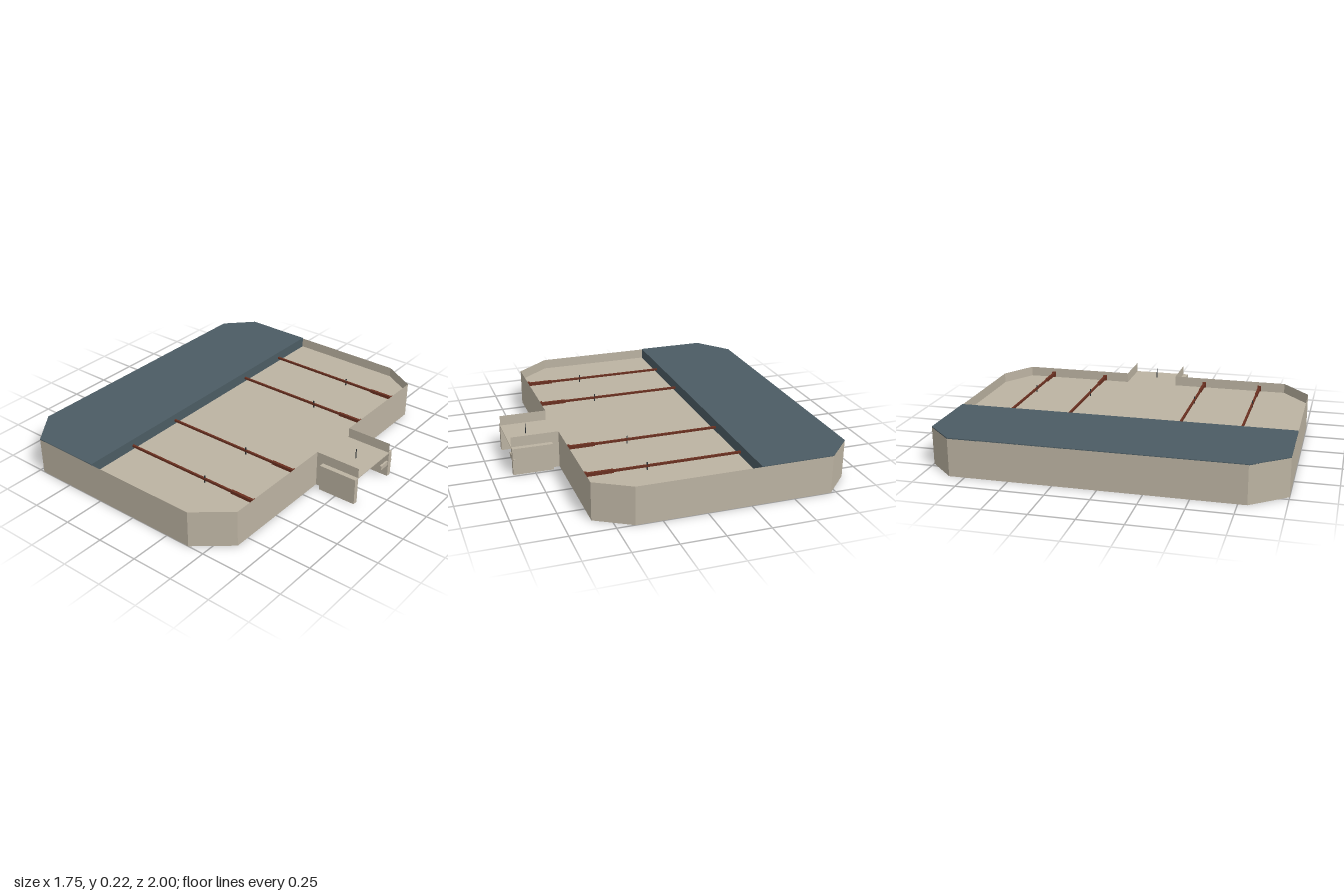
import * as THREE from 'three';

const mat = (name, color, double = false) => {
  const m = new THREE.MeshStandardMaterial({ color, side: double ? THREE.DoubleSide : THREE.FrontSide });
  m.name = name;
  return m;
};

export function createModel() {
  const root = new THREE.Group();
  const beige = mat('beige plaster', 0xbcb3a2, true);
  const blue = mat('slate blue', 0x4c5c64, true);
  const brown = mat('red brown wood', 0x6a3020);
  const dark = mat('dark metal', 0x2c3236);

  const add = (name, geo, material, parent = root) => {
    const m = new THREE.Mesh(geo, material);
    m.name = name;
    parent.add(m);
    return m;
  };
  // Box given by its limits on each axis
  const box = (name, x0, x1, y0, y1, z0, z1, material, parent) => {
    const m = add(name, new THREE.BoxGeometry(x1 - x0, y1 - y0, z1 - z0), material, parent);
    m.position.set((x0 + x1) / 2, (y0 + y1) / 2, (z0 + z1) / 2);
    return m;
  };
  // Horizontal plate from an (x, z) outline, top face at y
  const plate = (name, pts, y, t, material) => {
    const s = new THREE.Shape(pts.map(([x, z]) => new THREE.Vector2(x, -z)));
    const g = new THREE.ExtrudeGeometry(s, { depth: t, bevelEnabled: false });
    g.rotateX(-Math.PI / 2).translate(0, y - t, 0);
    return add(name, g, material);
  };
  // Upright thin wall along an (x, z) path
  const wall = (name, pts, y0, y1, material, parent) => {
    const pos = [];
    for (let i = 0; i < pts.length - 1; i++) {
      const [ax, az] = pts[i], [bx, bz] = pts[i + 1];
      pos.push(ax, y0, az, bx, y0, bz, bx, y1, bz, ax, y0, az, bx, y1, bz, ax, y1, az);
    }
    const g = new THREE.BufferGeometry();
    g.setAttribute('position', new THREE.Float32BufferAttribute(pos, 3));
    g.computeVertexNormals();
    return add(name, g, material, parent);
  };

  // Outer shell, open at the end of the entrance bay
  const H = 0.22, C = 0.16;
  const outline = [[0.875, 0.12], [0.6, 0.12], [0.6, 0.835], [0.4, 1], [-0.72, 1], [-0.875, 0.8],
    [-0.875, -0.84], [-0.72, -1], [0.4, -1], [0.6, -0.88], [0.6, -0.205], [0.875, -0.205]];
  wall('outerWall', outline, 0, H, beige);

  // Low main ceiling and raised rear roof
  plate('mainCeiling', [[-0.3, 1], [0.4, 1], [0.6, 0.835], [0.6, 0.12], [0.875, 0.12],
    [0.875, -0.205], [0.6, -0.205], [0.6, -0.88], [0.4, -1], [-0.3, -1]], C, 0.004, beige);
  plate('rearRoof', [[-0.3, 1], [-0.72, 1], [-0.875, 0.8], [-0.875, -0.84], [-0.72, -1], [-0.3, -1]],
    H + 0.004, 0.006, blue);
  wall('roofFascia', [[-0.3, 1], [-0.3, -1]], 0.12, H, blue);
  wall('partitionLeft', [[-0.3, 0.96], [-0.3, 0.25]], 0.01, 0.12, blue);
  wall('partitionRight', [[-0.3, -0.32], [-0.3, -0.96]], 0.01, 0.12, blue);
  box('entranceHeader', 0.59, 0.6, 0.13, C, -0.205, 0.12, beige);

  // Side panels of the entrance bay
  const panel = (z0, z1) => {
    wall('entrancePanel', [[0.64, z0], [0.64, z1], [0.875, z1], [0.875, z0]], 0, C, beige);
    box('entrancePanelTop', 0.64, 0.875, C - 0.004, C, Math.min(z0, z1), Math.max(z0, z1), beige);
  };
  panel(0.12, 0.15);
  panel(-0.205, -0.235);
  box('entranceSign', 0.86, 0.872, 0.075, 0.1, -0.245, -0.135, beige);
  box('entranceCord', 0.754, 0.758, C, H, -0.042, -0.038, dark);
  box('entranceLamp', 0.745, 0.767, 0.148, 0.155, -0.06, -0.02, dark);

  // Beams over the main hall, with end brackets, hangers and lamps
  for (const z of [-0.72, -0.36, 0.315, 0.675]) {
    const beam = new THREE.Group();
    beam.name = 'ceilingBeam';
    root.add(beam);
    box('beamBar', -0.3, 0.59, 0.178, 0.19, z - 0.006, z + 0.006, brown, beam);
    box('beamSleeve', 0.43, 0.59, 0.174, 0.193, z - 0.008, z + 0.008, brown, beam);
    box('beamEnd', 0.575, 0.595, 0.165, 0.198, z - 0.011, z + 0.011, brown, beam);
    box('beamHanger', 0.238, 0.244, C, 0.205, z - 0.003, z + 0.003, dark, beam);
  }
  for (const z of [-0.72, 0.675]) {
    box('wallBracket', 0.43, 0.59, 0.11, 0.122, z - 0.012, z + 0.012, brown);
    box('wallBracketUpper', 0.45, 0.59, 0.135, 0.145, z - 0.01, z + 0.01, brown);
    const pot = add('floorPot', new THREE.CylinderGeometry(0.018, 0.014, 0.035, 8), beige);
    pot.position.set(0.53, 0.02, z + 0.06);
  }

  // Reception counter with cut corners
  wall('receptionCounter', [[0.16, -0.13], [0.04, -0.13], [-0.01, -0.08], [-0.01, 0.05],
    [0.04, 0.1], [0.16, 0.1], [0.21, 0.05], [0.21, -0.02]], 0.003, 0.04, beige);
  wall('receptionCounterInner', [[0.15, -0.105], [0.05, -0.105], [0.015, -0.07], [0.015, 0.04],
    [0.05, 0.075], [0.15, 0.075], [0.185, 0.04], [0.185, -0.02]], 0.003, 0.04, beige);

  // Stepped benches in the hall
  for (const z of [-0.74, -0.37, 0.33, 0.7]) {
    for (let i = 0; i < 3; i++) {
      box('benchStep', 0.12 + i * 0.025, 0.145 + i * 0.025, 0.005, 0.02 + i * 0.015, z - 0.11, z + 0.11, beige);
    }
  }

  // Small fittings under the hall ceiling
  for (const z of [-0.6, -0.2, 0.2, 0.55]) {
    box('ceilingFitting', 0.37, 0.42, 0.145, 0.156, z - 0.012, z + 0.012, dark);
  }

  // Rear work bays: shelf stacks, angled counters and posts
  for (const z of [-0.74, -0.42, -0.18, 0.08, 0.42, 0.78]) {
    for (let i = 0; i < 4; i++) {
      box('shelf', -0.79, -0.7, 0.03 + i * 0.022, 0.036 + i * 0.022, z - 0.075, z + 0.075, blue);
    }
    wall('shelfSides', [[-0.7, z - 0.075], [-0.79, z - 0.075], [-0.79, z + 0.075], [-0.7, z + 0.075]], 0.03, 0.11, blue);
    box('bayPost', -0.82, -0.805, 0.01, 0.1, z - 0.008, z + 0.008, brown);
    wall('bayCounter', [[-0.5, z - 0.1], [-0.5, z + 0.04], [-0.62, z + 0.04], [-0.62, z + 0.1]], 0.01, 0.06, blue);
    box('bayCounterTop', -0.62, -0.5, 0.058, 0.064, z - 0.1, z + 0.04, blue);
  }
  return root;
}
